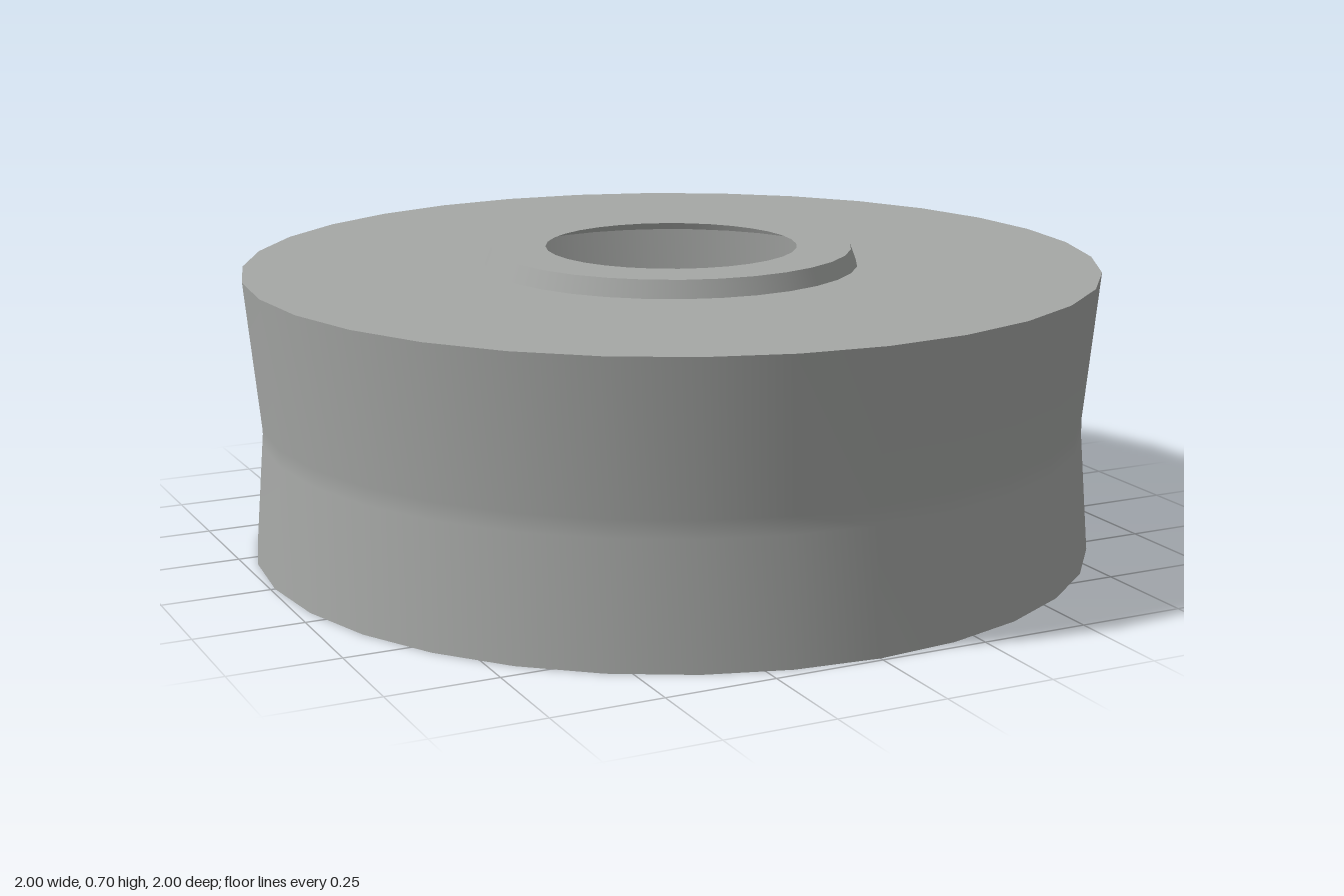
import * as THREE from 'three';

const SEGMENTS = 32;

export function createModel() {
  const model = new THREE.Group();
  model.name = 'hollowDrum';

  const grey = new THREE.MeshStandardMaterial({ color: 0xa5a7a5, side: THREE.DoubleSide });
  grey.name = 'grey';

  // Revolve a profile of [radius, height] pairs into a thin shell
  function addShell(name, profile) {
    const points = profile.map(([r, y]) => new THREE.Vector2(r, y));
    const mesh = new THREE.Mesh(new THREE.LatheGeometry(points, SEGMENTS), grey);
    mesh.name = name;
    model.add(mesh);
  }

  // Waisted outer wall, open at the bottom
  addShell('sideWall', [[0.99, 0], [0.967, 0.28], [0.967, 0.32], [1, 0.665]]);
  // Flat lid reaching in to the collar
  addShell('lid', [[1, 0.665], [0.437, 0.665]]);
  // Raised collar with sloping side
  addShell('collarSide', [[0.437, 0.665], [0.422, 0.705]]);
  // Flat rim around the central hole
  addShell('collarRim', [[0.422, 0.705], [0.295, 0.705]]);

  return model;
}
